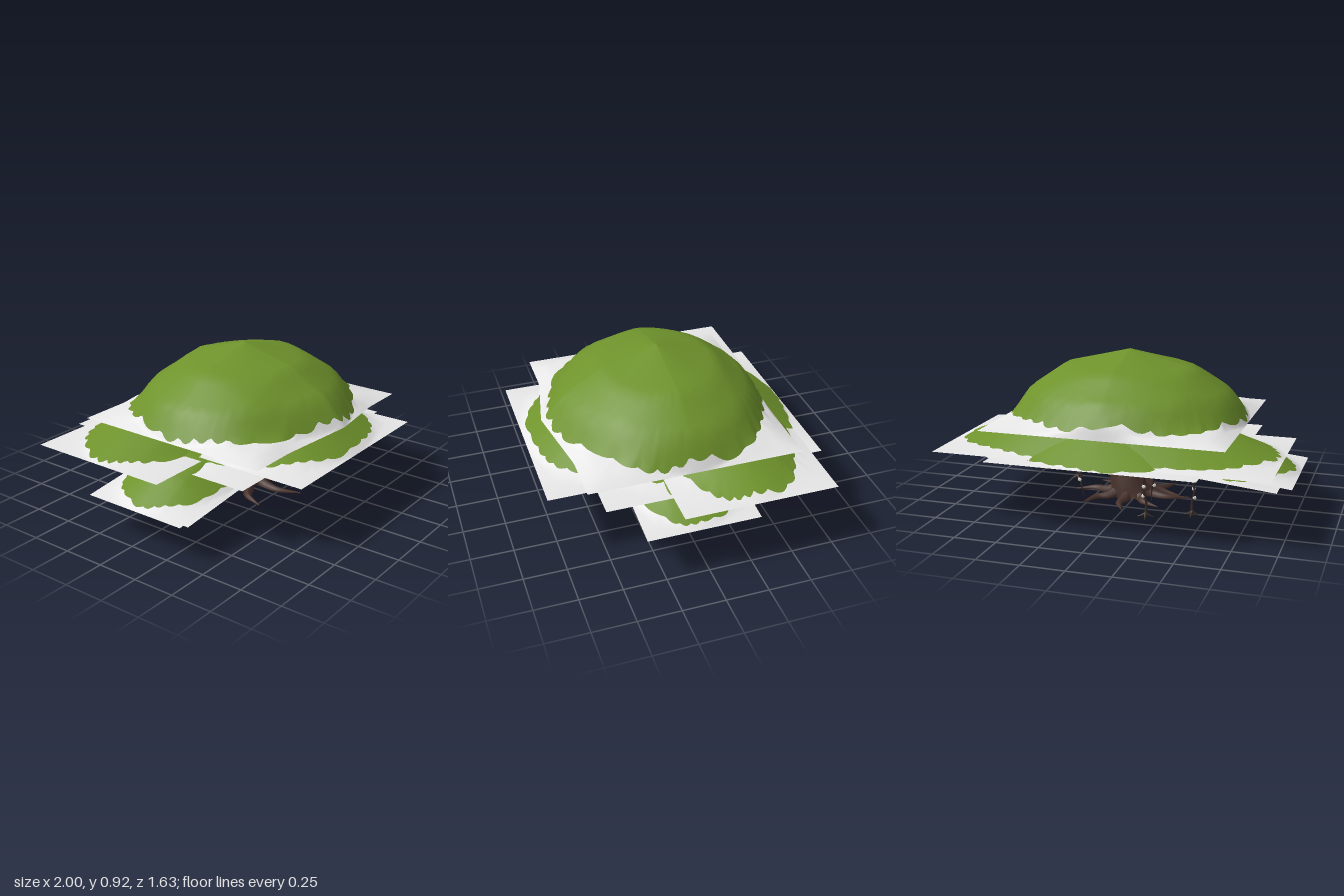
import * as THREE from 'three';

const mat = (name, color, side = THREE.FrontSide) => {
  const m = new THREE.MeshStandardMaterial({ color, side });
  m.name = name;
  return m;
};

// piecewise linear lookup in [[x, y], ...]
function lerpTable(table, x) {
  for (let i = 1; i < table.length; i++) {
    const [x0, y0] = table[i - 1], [x1, y1] = table[i];
    if (x <= x1) return y0 + (y1 - y0) * (x - x0) / (x1 - x0);
  }
  return table[table.length - 1][1];
}
// height profiles from middle to edge: full dome and flatter slope
const DOME = [[0, 1], [0.55, 0.765], [0.86, 0.39], [1, 0]];
const SLOPE = [[0, 1], [0.45, 0.8], [1, 0]];
const bulge = (profile, u, v) =>
  0.65 * lerpTable(profile, Math.hypot(u, v)) +
  0.35 * lerpTable(profile, Math.abs(u)) * lerpTable(profile, Math.abs(v));

export function createModel() {
  const model = new THREE.Group();
  const leaf = mat('leafGreen', 0x6f932c, THREE.DoubleSide);
  const card = mat('paleCard', 0xececec, THREE.DoubleSide);
  const bark = mat('bark', 0x48322c, THREE.DoubleSide);
  const vineMat = mat('vineBrown', 0x3a2d27, THREE.DoubleSide);
  const blossomMat = mat('blossom', 0xdcdad6);
  const add = (name, geo, material, parent = model) => {
    const m = new THREE.Mesh(geo, material);
    m.name = name;
    parent.add(m);
    return m;
  };

  // surface between two radius functions, mapped to space by place(u, v)
  function ringSurface(inner, outer, rings, place) {
    const N = 192, pos = [], idx = [];
    for (let i = 0; i <= rings; i++)
      for (let j = 0; j < N; j++) {
        const a = (j / N) * Math.PI * 2;
        const r = inner(a) + (outer(a) - inner(a)) * i / rings;
        pos.push(...place(r * Math.cos(a), r * Math.sin(a)));
      }
    for (let i = 0; i < rings; i++)
      for (let j = 0; j < N; j++) {
        const k = (j + 1) % N, p = i * N, q = p + N;
        idx.push(p + j, q + k, q + j, p + j, p + k, q + k);
      }
    const g = new THREE.BufferGeometry();
    g.setAttribute('position', new THREE.Float32BufferAttribute(pos, 3));
    g.setIndex(idx);
    g.computeVertexNormals();
    return g;
  }

  // bulging rectangular card with a scalloped leaf patch in the middle;
  // the patch is described by [scallops, size, squareness]
  function canopy(name, profile, [x0, x1], [z0, z1], [yA, yB], height, [lobes, fill, e], warp) {
    const group = new THREE.Group();
    group.name = name;
    model.add(group);
    const place = (u, v) => {
      const p = [
        (x0 + x1) / 2 + u * (x1 - x0) / 2,
        (yA + yB) / 2 + u * (yB - yA) / 2 + height * bulge(profile, u, v),
        (z0 + z1) / 2 + v * (z1 - z0) / 2,
      ];
      if (warp) warp(p, u, v);
      return p;
    };
    const edge = a => 1 / Math.max(Math.abs(Math.cos(a)), Math.abs(Math.sin(a)));
    const patch = a => {
      const r = (Math.abs(Math.cos(a)) ** e + Math.abs(Math.sin(a)) ** e) ** (-1 / e);
      const wobble = a + 0.09 * Math.sin(5 * a + lobes);
      const scallop = 0.03 * Math.abs(Math.sin(wobble * lobes / 2 + 0.4)) + 0.018 * Math.sin(7 * a + lobes);
      return Math.min(r * (fill - 0.02 + scallop), edge(a) * 0.993);
    };
    add('leaves', ringSurface(() => 0, patch, 16, place), leaf, group);
    add('cardBorder', ringSurface(patch, edge, 4, place), card, group);
  }

  // crown: front edge pulled forward, steep wall at the middle of the back
  canopy('crown', DOME, [-0.68, 0.77], [-0.63, 0.62], [0.51, 0.51], 0.41, [30, 0.965, 2.4], (p, u, v) => {
    const mid = Math.max(0, 1 - Math.abs(u) / 0.6) * v ** 4;
    if (v > 0) {
      p[1] += mid * 0.03;
      p[2] += mid * 0.085;
    } else p[1] += mid * v ** 4 * 0.06 * Math.min(1, (1 + v) / 0.03);
  });
  canopy('wideLayer', SLOPE, [-0.95, 1.0], [-0.75, 0.15], [0.4, 0.4], 0.25, [36, 0.955, 2.4]);
  canopy('backLayer', SLOPE, [-0.57, 0.65], [-0.82, 0.1], [0.39, 0.39], 0.2, [26, 0.97, 2.4]);
  canopy('frontLayer', SLOPE, [-0.55, 0.63], [-0.1, 0.81], [0.41, 0.41], 0.2, [26, 0.93, 2]);
  canopy('middleLayer', SLOPE, [-0.68, 0.77], [-0.48, 0.52], [0.365, 0.365], 0.16, [28, 0.9, 2]);
  canopy('rightLowLayer', SLOPE, [-1.0, -0.08], [-0.31, 0.35], [0.225, 0.32], 0.16, [24, 0.92, 2.1]);
  canopy('rightUnderLayer', SLOPE, [-0.91, -0.25], [-0.28, 0.33], [0.185, 0.25], 0.07, [20, 0.88, 2.1]);
  canopy('leftLowLayer', SLOPE, [0.1, 0.97], [-0.31, 0.35], [0.36, 0.275], 0.12, [24, 0.92, 2.1]);
  canopy('leftUnderLayer', SLOPE, [0.3, 0.89], [-0.28, 0.33], [0.3, 0.235], 0.07, [20, 0.88, 2.1]);
  canopy('smallSprig', DOME, [0.17, 0.38], [-0.1, 0.12], [0.2, 0.19], 0.075, [14, 0.93, 2.1]);

  // tube along points whose radius follows a list
  function limb(name, points, radii, material, sides = 8, parent = model) {
    const curve = new THREE.CatmullRomCurve3(points.map(p => new THREE.Vector3(...p)));
    const n = points.length * 4;
    const g = new THREE.TubeGeometry(curve, n, 1, sides);
    const table = radii.map((r, i) => [i / (radii.length - 1), r]);
    const pos = g.attributes.position, v = new THREE.Vector3();
    for (let i = 0; i <= n; i++) {
      const c = curve.getPointAt(i / n);
      for (let j = 0; j <= sides; j++) {
        const k = i * (sides + 1) + j;
        v.fromBufferAttribute(pos, k).sub(c).multiplyScalar(lerpTable(table, i / n)).add(c);
        pos.setXYZ(k, v.x, Math.max(v.y, 0), v.z);
      }
    }
    g.computeVertexNormals();
    return add(name, g, material, parent);
  }

  // trunk, sweeping up from the right and leaning back over
  limb('trunk', [[0.03, 0, -0.01], [0.055, 0.06, -0.015], [0.08, 0.14, -0.01], [0.07, 0.23, -0.01], [0.045, 0.32, -0.02], [0.035, 0.42, -0.02]],
    [0.13, 0.105, 0.088, 0.074, 0.062, 0.05], bark, 14);

  // flat roots spread over the ground: [angle in degrees, length]
  const roots = [[2, 0.35], [42, 0.32], [84, 0.39], [132, 0.36], [178, 0.38], [222, 0.3], [265, 0.3], [315, 0.33]];
  for (const [deg, len] of roots) {
    const a = deg * Math.PI / 180;
    const at = (r, y, turn = 0) => [0.05 + r * Math.cos(a + turn), y, -0.01 + r * Math.sin(a + turn)];
    limb('root', [at(0.04, 0.04), at(0.14, 0.008), at(len * 0.65, 0.006, 0.1), at(len, 0.003, -0.05)],
      [0.05, 0.034, 0.02, 0.003], bark);
  }
  // the tall root running up the right of the trunk
  limb('sweepingRoot', [[0.04, 0.13, 0.02], [-0.04, 0.07, 0.03], [-0.14, 0.025, 0.03], [-0.26, 0.008, 0.02]],
    [0.05, 0.042, 0.025, 0.005], bark);

  // boughs under the canopy
  const boughs = [
    [[0.03, 0.26, 0], [-0.06, 0.3, 0.03], [-0.15, 0.325, 0.05], [-0.4, 0.37, 0.04]],
    [[0.06, 0.31, 0], [0.14, 0.37, 0.02], [0.3, 0.39, 0.05], [0.5, 0.38, 0.02]],
    [[0.05, 0.33, 0], [0.03, 0.4, 0.12], [-0.02, 0.43, 0.3], [-0.05, 0.45, 0.45]],
    [[0.05, 0.33, 0], [0.08, 0.4, -0.15], [0.16, 0.43, -0.3], [0.25, 0.44, -0.45]],
    [[0.1, 0.17, 0], [0.17, 0.195, 0.02], [0.22, 0.215, 0.01], [0.28, 0.225, 0.01]],
  ];
  boughs.forEach((b, i) => limb('bough', b, i === 4 ? [0.018, 0.01, 0.004] : [0.03, 0.02, 0.012, 0.005], bark));

  // carved knot on the front of the trunk
  const knot = new THREE.Group();
  knot.name = 'trunkKnot';
  knot.position.set(0.09, 0.155, 0.073);
  model.add(knot);
  add('nose', new THREE.SphereGeometry(0.015, 8, 6), bark, knot).position.z = 0.01;
  add('mouth', new THREE.TorusGeometry(0.026, 0.005, 6, 12, Math.PI), bark, knot).rotation.z = Math.PI;
  for (const s of [-1, 1])
    add('brow', new THREE.SphereGeometry(0.012, 8, 6), bark, knot).position.set(s * 0.022, 0.025, -0.004);

  // hanging vines: [x, z, bottom y, top y, radius]
  const vines = [
    [-0.42, -0.27, 0, 0.36, 0.007], [0.47, 0.19, 0, 0.4, 0.007], [0.19, 0.3, 0, 0.42, 0.007],
    [-0.16, -0.38, 0, 0.42, 0.007], [0.53, 0.165, 0.07, 0.36, 0.006], [0.25, 0.28, 0.04, 0.42, 0.006],
    [-0.19, -0.33, 0.08, 0.42, 0.006], [-0.15, -0.32, 0.15, 0.42, 0.0055], [0.26, -0.28, 0.05, 0.42, 0.006],
    [0.18, -0.16, 0.17, 0.42, 0.0055],
    [-0.61, 0.1, 0.1, 0.25, 0.003], [0.69, 0.1, 0.16, 0.3, 0.004], [-0.34, 0.15, 0.17, 0.28, 0.003],
  ];
  vines.forEach(([x, z, y0, y1, r], n) => {
    const group = new THREE.Group();
    group.name = 'hangingVine';
    model.add(group);
    const at = t => [x + 0.009 * Math.sin(t * 9 + n), y1 + (y0 - y1) * t, z + 0.008 * Math.cos(t * 8 + n * 2)];
    limb('stem', [0, 0.2, 0.4, 0.6, 0.8, 1].map(at), [r, r * 1.2, r * 0.9, r, y0 ? r * 0.3 : r * 1.3], vineMat, 6, group);
    if (r > 0.005)
      for (let i = 0; i < 5; i++) {
        const p = at(0.1 + i * 0.15), a = i * 2.4 + n;
        add('blossom', new THREE.IcosahedronGeometry(0.013, 0), blossomMat, group)
          .position.set(p[0] + 0.009 * Math.cos(a), p[1], p[2] + 0.009 * Math.sin(a));
      }
    // rooted vines end in small splayed feet
    if (y0 === 0)
      for (let i = 0; i < 4; i++) {
        const a = i * Math.PI / 2 + n, [fx, , fz] = at(1);
        limb('foot', [[fx, 0.025, fz], [fx + 0.025 * Math.cos(a), 0.01, fz + 0.025 * Math.sin(a)],
          [fx + 0.05 * Math.cos(a), 0.002, fz + 0.05 * Math.sin(a)]], [0.008, 0.006, 0.002], vineMat, 5, group);
      }
  });

  return model;
}
